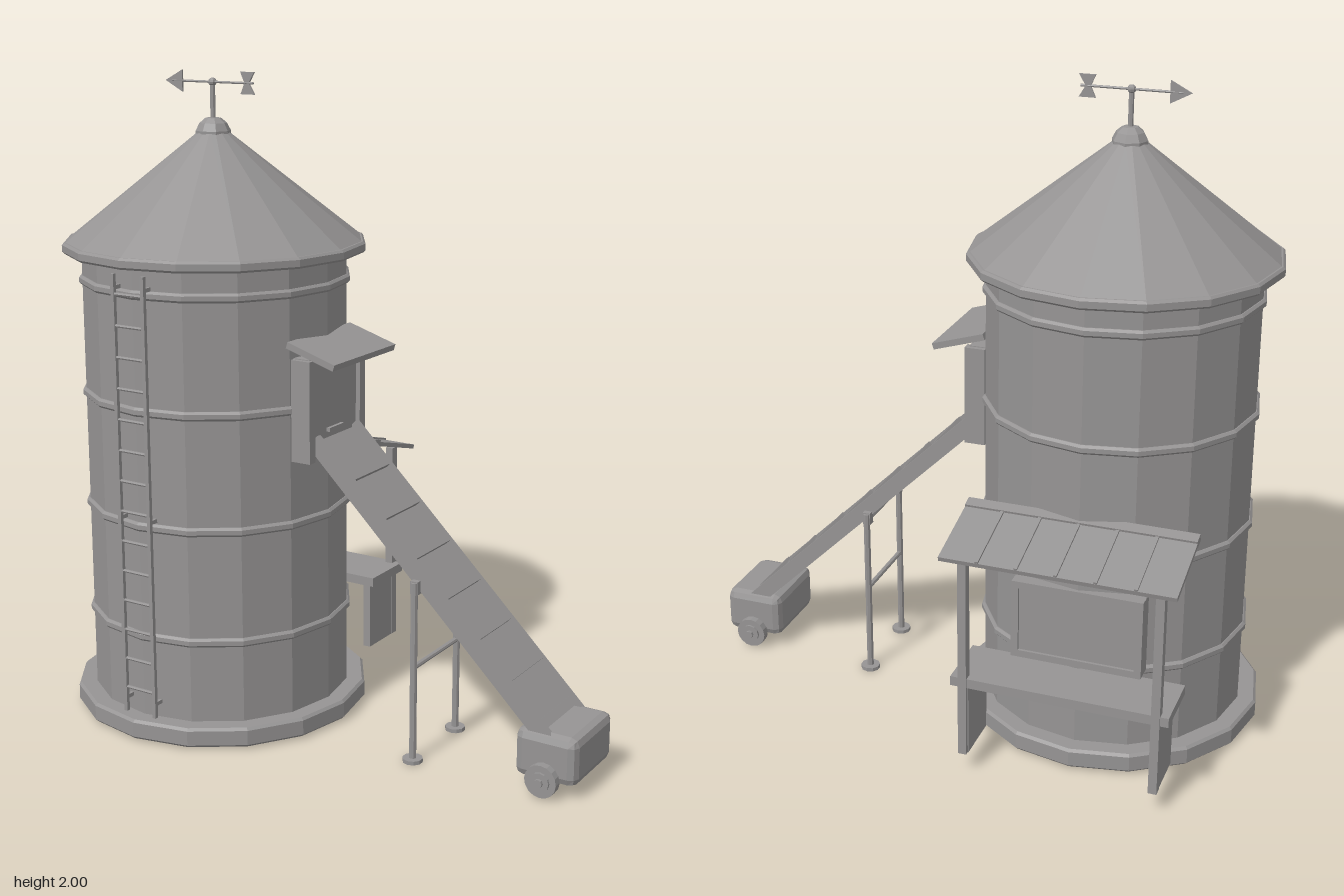
import * as THREE from 'three';
import { RoundedBoxGeometry } from 'three/addons/geometries/RoundedBoxGeometry.js';

const SIDES = 16, CX = -0.43, CZ = 0.08;

export function createModel() {
  const root = new THREE.Group();
  root.name = 'grainSilo';
  const steel = new THREE.MeshStandardMaterial({ color: 0x969494 });
  steel.name = 'galvanised grey';

  // Adds a part with faceted normals
  function add(parent, name, geometry, x = 0, y = 0, z = 0) {
    const flat = geometry.index ? geometry.toNonIndexed() : geometry;
    flat.computeVertexNormals();
    const mesh = new THREE.Mesh(flat, steel);
    mesh.name = name;
    mesh.position.set(x, y, z);
    parent.add(mesh);
    return mesh;
  }
  function group(name, x = 0, y = 0, z = 0) {
    const g = new THREE.Group();
    g.name = name;
    g.position.set(x, y, z);
    root.add(g);
    return g;
  }
  const box = (w, h, d) => new THREE.BoxGeometry(w, h, d);
  const rod = (r, h, n = 8) => new THREE.CylinderGeometry(r, r, h, n);
  const lathe = (pts, n = SIDES) =>
    new THREE.LatheGeometry(pts.map(p => new THREE.Vector2(p[0], p[1])), n);
  const band = (r0, r1, h, c) => lathe([
    [r0, -h / 2], [r1 - c, -h / 2], [r1, -h / 2 + c], [r1, h / 2 - c], [r1 - c, h / 2], [r0, h / 2]]);

  // Silo body, base, hoops and conical roof
  const silo = group('silo', CX, 0, CZ);
  add(silo, 'wall', new THREE.CylinderGeometry(0.41, 0.41, 1.42, SIDES), 0, 0.76);
  add(silo, 'base', band(0, 0.468, 0.062, 0.008), 0, 0.038);
  for (const y of [0.325, 0.675, 1.03, 1.38]) add(silo, 'hoop', band(0.39, 0.42, 0.028, 0.007), 0, y);
  add(silo, 'eave', band(0, 0.468, 0.034, 0.007), 0, 1.478);
  add(silo, 'roof', lathe([[0.462, 1.49], [0.045, 1.82], [0, 1.82]]));
  add(silo, 'finial', lathe([[0.054, 1.808], [0.054, 1.822], [0.042, 1.845], [0.024, 1.86], [0, 1.862]], 8));

  // Weather vane
  const vane = group('weatherVane', CX, 1.967, CZ);
  add(vane, 'vanePole', rod(0.008, 0.12), 0, -0.055);
  add(vane, 'vaneBall', new THREE.SphereGeometry(0.013, 8, 6));
  add(vane, 'vaneRod', rod(0.004, 0.3, 6)).rotation.z = Math.PI / 2;
  const plate = pts => new THREE.ExtrudeGeometry(
    new THREE.Shape(pts.map(p => new THREE.Vector2(p[0], p[1]))), { depth: 0.006, bevelEnabled: false });
  add(vane, 'vaneHead', plate([[-0.175, 0], [-0.112, -0.033], [-0.112, 0.033]]), 0, 0, -0.003);
  add(vane, 'vaneTail', plate([[0.105, -0.033], [0.155, -0.033], [0.135, 0], [0.155, 0.033], [0.105, 0.033], [0.12, 0]]), 0, 0, -0.003);

  // Front ladder
  const ladder = group('ladder', CX, 0, 0.508);
  for (const s of [-1, 1]) {
    add(ladder, 'ladderRail', box(0.012, 1.365, 0.012), s * 0.055, 0.758);
    for (const y of [0.12, 0.7, 1.4]) add(ladder, 'ladderBracket', box(0.01, 0.012, 0.05), s * 0.055, y, -0.025);
  }
  for (let i = 0; i < 14; i++) {
    add(ladder, 'rung', rod(0.005, 0.11, 6), 0, 0.155 + i * 0.0943).rotation.z = Math.PI / 2;
  }

  // Hatch where the conveyor enters, with its sloping hood
  const hatch = group('hatch', 0, 0, CZ + 0.005);
  add(hatch, 'hatchPanel', box(0.06, 0.3, 0.25), -0.025, 1.03);
  for (const s of [-1, 1]) add(hatch, 'hatchCheek', box(0.065, 0.31, 0.03), -0.013, 1.03, s * 0.14);
  add(hatch, 'hatchLintel', box(0.055, 0.025, 0.28), -0.018, 1.175);
  add(hatch, 'hatchHandle', box(0.012, 0.012, 0.08), 0.01, 0.955);
  add(hatch, 'hood', box(0.17, 0.02, 0.345), 0.033, 1.207).rotation.z = -0.3;

  // Inclined conveyor with raised side rails and cleats
  const a = new THREE.Vector2(0, 0.935), b = new THREE.Vector2(0.8, 0.155);
  const length = a.distanceTo(b), slope = Math.atan2(b.y - a.y, b.x - a.x);
  const conveyor = group('conveyor', (a.x + b.x) / 2, (a.y + b.y) / 2, CZ);
  conveyor.rotation.z = slope;
  add(conveyor, 'belt', box(length - 0.02, 0.02, 0.205));
  for (const s of [-1, 1]) add(conveyor, 'conveyorRail', box(length, 0.05, 0.018), 0, 0, s * 0.108);
  for (let i = 0; i < 7; i++) {
    const x = (0.118 + i * 0.106) / Math.cos(slope) - length / 2;
    add(conveyor, 'cleat', box(0.014, 0.022, 0.2), x, 0.017);
  }

  // Wheeled intake at the foot of the conveyor
  const intake = group('intake', 0.793, 0, CZ);
  add(intake, 'intakeBox', new RoundedBoxGeometry(0.195, 0.148, 0.262, 1, 0.026), 0, 0.116);
  for (const s of [-1, 1]) {
    add(intake, 'wheel', rod(0.05, 0.026, 16), 0, 0.055, s * 0.142).rotation.x = Math.PI / 2;
    add(intake, 'wheelRim', rod(0.03, 0.01, 12), 0, 0.055, s * 0.157).rotation.x = Math.PI / 2;
    add(intake, 'hub', rod(0.013, 0.016, 8), 0, 0.055, s * 0.163).rotation.x = Math.PI / 2;
  }

  // Conveyor support legs
  const support = group('support', 0.363, 0, CZ);
  for (const s of [-1, 1]) {
    add(support, 'supportLeg', rod(0.011, 0.56), 0, 0.284, s * 0.132);
    add(support, 'supportFoot', rod(0.031, 0.012, 10), 0, 0.006, s * 0.132);
    add(support, 'supportClamp', box(0.025, 0.04, 0.025), 0, 0.548, s * 0.122);
  }
  add(support, 'supportBrace', rod(0.008, 0.26), 0, 0.3).rotation.x = Math.PI / 2;
  add(support, 'supportTopBar', rod(0.01, 0.26), 0, 0.545).rotation.x = Math.PI / 2;

  // Rear serving booth: window, counter, end panels and posts
  const booth = group('booth', CX, 0, 0);
  add(booth, 'windowPanel', box(0.36, 0.22, 0.05), 0, 0.455, -0.308);
  for (const s of [-1, 1]) {
    add(booth, 'windowSide', box(0.022, 0.25, 0.06), s * 0.19, 0.455, -0.312);
    add(booth, 'windowBar', box(0.4, 0.022, 0.06), 0, 0.455 + s * 0.115, -0.312);
    add(booth, 'endPanel', box(0.026, 0.23, 0.155), s * 0.29, 0.182, -0.423);
    add(booth, 'awningPost', box(0.026, 0.665, 0.03), s * 0.292, 0.4, -0.5);
  }
  add(booth, 'counter', box(0.66, 0.03, 0.19), 0, 0.31, -0.415);

  // Awning sloping down to the back, with seam battens
  const awning = group('awning', CX, 0.764, -0.427);
  awning.rotation.x = -0.265;
  add(awning, 'awningSheet', box(0.695, 0.014, 0.262));
  for (let i = -2; i <= 2; i++) add(awning, 'awningBatten', box(0.01, 0.008, 0.225), i * 0.116, 0.009, -0.018);
  add(awning, 'awningHeader', box(0.695, 0.024, 0.035), 0, 0.002, 0.114);

  return root;
}
